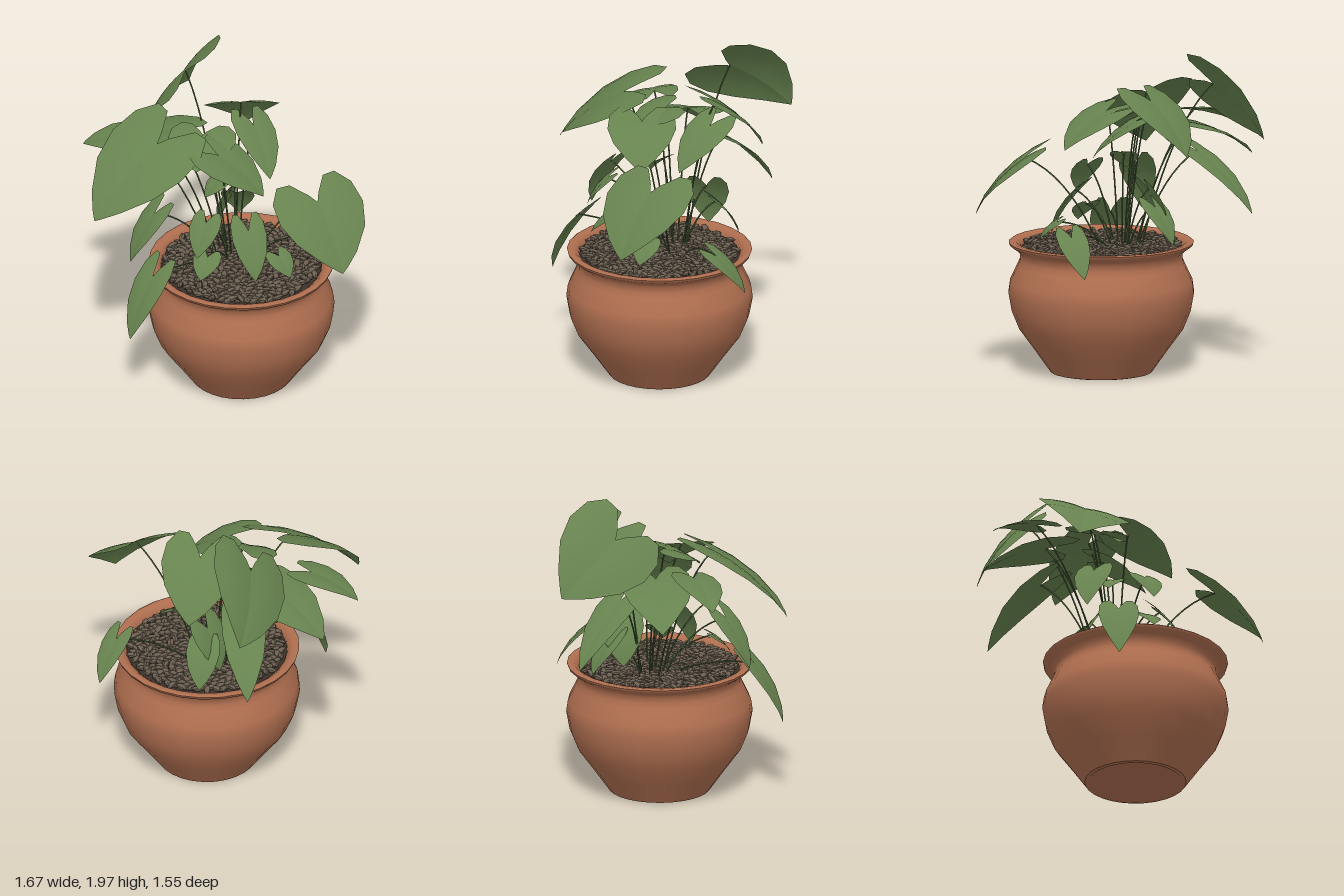
import * as THREE from 'three';
import { mergeGeometries } from 'three/addons/utils/BufferGeometryUtils.js';

const CX = 0.105, CZ = 0.22; // pot axis
const CROWN = new THREE.Vector3(0.07, 0.77, 0.1); // where the stalks gather
const UP = new THREE.Vector3(0, 1, 0);

function mat(name, color, extra = {}) {
  const m = new THREE.MeshStandardMaterial({ color, ...extra });
  m.name = name;
  return m;
}

function seeded(seed) {
  let s = seed;
  return () => (s = (s * 16807) % 2147483647) / 2147483647;
}

// Heart outline of one half: [midrib u, edge u, edge v]
const HEART = [
  [0, -0.12, 0.12], [0, -0.33, 0.42], [0, -0.34, 0.72], [0.06, -0.14, 0.98],
  [0.2, 0.16, 1.03], [0.42, 0.48, 0.84], [0.68, 0.78, 0.44], [0.88, 0.94, 0.14], [1, 1, 0],
];

// Leaf blade from joint to tip, with a half-width and a roll about its midrib
function leafGeometry(joint, tip, width, roll = 0) {
  const axis = tip.clone().sub(joint), len = axis.length(), steps = 4;
  const dir = axis.clone().normalize();
  const side = new THREE.Vector3().crossVectors(UP, axis).normalize().applyAxisAngle(dir, roll);
  const normal = new THREE.Vector3().crossVectors(dir, side);
  const pos = [], idx = [];
  for (const sgn of [1, -1]) {
    const start = pos.length / 3;
    for (const [rib, eu, ev] of HEART) {
      for (let k = 0; k <= steps; k++) {
        const t = k / steps, u = rib + (eu - rib) * t, v = ev * t;
        const lift = len * 0.28 * u * (1 - u) + width * (0.16 * v - 0.2 * v * v);
        const p = joint.clone().addScaledVector(axis, u)
          .addScaledVector(side, v * sgn * width).addScaledVector(normal, lift);
        pos.push(p.x, p.y, p.z);
      }
    }
    for (let r = 0; r < HEART.length - 1; r++) {
      for (let k = 0; k < steps; k++) {
        const a = start + r * (steps + 1) + k, b = a + 1, c = a + steps + 1, d = c + 1;
        if (sgn > 0) idx.push(a, c, b, b, c, d);
        else idx.push(a, b, c, b, d, c);
      }
    }
  }
  const g = new THREE.BufferGeometry();
  g.setAttribute('position', new THREE.Float32BufferAttribute(pos, 3));
  g.setIndex(idx);
  g.computeVertexNormals();
  return g;
}

// Stalk arching from near the crown to the leaf joint
function stalkGeometry(joint) {
  const foot = CROWN.clone().lerp(joint, 0.22).setY(CROWN.y);
  const mid = foot.clone().lerp(joint, 0.42);
  mid.y = foot.y + (joint.y - foot.y) * 0.72 + 0.04;
  return new THREE.TubeGeometry(new THREE.QuadraticBezierCurve3(foot, mid, joint), 10, 0.005, 5);
}

// Large leaves: joint, tip, half-width, roll
const LARGE_LEAVES = [
  [[-0.2, 1.77, -0.38], [-0.16, 1.47, -0.77], 0.29, -0.88],
  [[0.12, 1.69, -0.14], [0.17, 1.38, -0.43], 0.22, -0.1],
  [[0.19, 1.57, -0.08], [0.28, 1.33, 0.17], 0.13, -0.2],
  [[-0.12, 1.6, 0.08], [-0.17, 1.47, 0.3], 0.2],
  [[-0.04, 1.57, 0.27], [0.23, 1.35, 0.4], 0.2],
  [[-0.4, 1.63, 0.22], [-0.79, 1.25, 0.47], 0.28, -0.3],
  [[-0.3, 1.5, -0.15], [-0.64, 1.28, -0.38], 0.21],
  [[-0.54, 1.54, -0.04], [-0.83, 1.42, -0.15], 0.14, -0.16],
  [[-0.15, 1.36, -0.3], [-0.2, 1, -0.66], 0.13],
  [[0.55, 1.35, 0.48], [0.69, 1, 0.74], 0.28],
  [[0.64, 0.91, 0.09], [0.73, 0.68, -0.06], 0.09, 0.2],
  [[0.08, 1.14, -0.1], [0, 0.87, -0.15], 0.13],
];

// Small leaves: joint and drop; they hang away from the crown
const SMALL_LEAVES = [
  [0.14, 1.1, 0.38, 0.27], [-0.12, 1.21, 0.46, 0.18], [-0.11, 0.97, 0.46, 0.11],
  [0.32, 0.93, 0.4, 0.11], [-0.44, 0.87, 0.5, 0.37], [-0.42, 1.19, 0.3, 0.3],
  [0.1, 1.04, -0.16, 0.22], [-0.02, 1.32, 0.14, 0.1],
];

export function createModel() {
  const root = new THREE.Group();
  root.name = 'pottedPlant';
  const clay = mat('terracotta', 0xb06f50, { side: THREE.DoubleSide });
  const leafGreen = mat('leafGreen', 0x67834f, { side: THREE.DoubleSide });
  const stalkGreen = mat('stalkGreen', 0x526840);
  const pebbleBrown = mat('pebbleBrown', 0x6a5e50, { flatShading: true });
  const soilBrown = mat('soilBrown', 0x3b322a);

  const add = (name, geometry, material) => {
    const m = new THREE.Mesh(geometry, material);
    m.name = name;
    root.add(m);
    return m;
  };

  // Pot: foot, then belly and neck flaring into the lip, then the inner wall
  const profiles = {
    potBase: [[0, 0.012], [0.27, 0.012], [0.285, 0], [0.305, 0.005]],
    potBody: [[0.305, 0.005], [0.4, 0.14], [0.495, 0.27], [0.54, 0.38], [0.56, 0.49],
      [0.55, 0.56], [0.505, 0.655], [0.49, 0.69], [0.49, 0.73], [0.515, 0.755], [0.55, 0.778],
      [0.556, 0.795]],
    potRim: [[0.556, 0.795], [0.545, 0.803], [0.515, 0.8], [0.485, 0.775], [0.475, 0.72]],
  };
  for (const [name, pts] of Object.entries(profiles)) {
    const profile = pts.map((p) => new THREE.Vector2(...p));
    add(name, new THREE.LatheGeometry(profile, 28), clay).position.set(CX, 0, CZ);
  }

  // Soil disc with a bed of pebbles
  const soil = add('soil', new THREE.CircleGeometry(0.482, 28), soilBrown);
  soil.rotation.x = -Math.PI / 2;
  soil.position.set(CX, 0.76, CZ);
  const rand = seeded(77), stones = [], count = 480;
  for (let i = 0; i < count; i++) {
    const r = 0.46 * Math.sqrt((i + 0.5) / count), a = i * 2.39996;
    const g = new THREE.IcosahedronGeometry(1, 0);
    g.scale(0.032 + rand() * 0.012, 0.014 + rand() * 0.005, 0.018 + rand() * 0.006);
    g.rotateZ((rand() - 0.5) * 0.9);
    g.rotateY(rand() * Math.PI * 2);
    g.translate(CX + r * Math.cos(a), 0.772 + rand() * 0.016, CZ + r * Math.sin(a));
    stones.push(g);
  }
  add('pebbles', mergeGeometries(stones), pebbleBrown);

  // Leaves, each on its own stalk
  const addLeaf = (name, joint, tip, width, roll) => {
    add(name + 'Stalk', stalkGeometry(joint), stalkGreen);
    add(name, leafGeometry(joint, tip, width, roll), leafGreen);
  };
  LARGE_LEAVES.forEach(([joint, tip, width, roll], i) => {
    addLeaf('largeLeaf' + (i + 1), new THREE.Vector3(...joint), new THREE.Vector3(...tip), width, roll);
  });
  SMALL_LEAVES.forEach(([x, y, z, drop], i) => {
    const joint = new THREE.Vector3(x, y, z);
    const outward = joint.clone().sub(CROWN).setY(0).normalize();
    const tip = joint.clone().addScaledVector(outward, 0.07 + 0.3 * drop);
    tip.y -= drop;
    addLeaf('smallLeaf' + (i + 1), joint, tip, 0.07 + 0.13 * drop);
  });

  return root;
}
